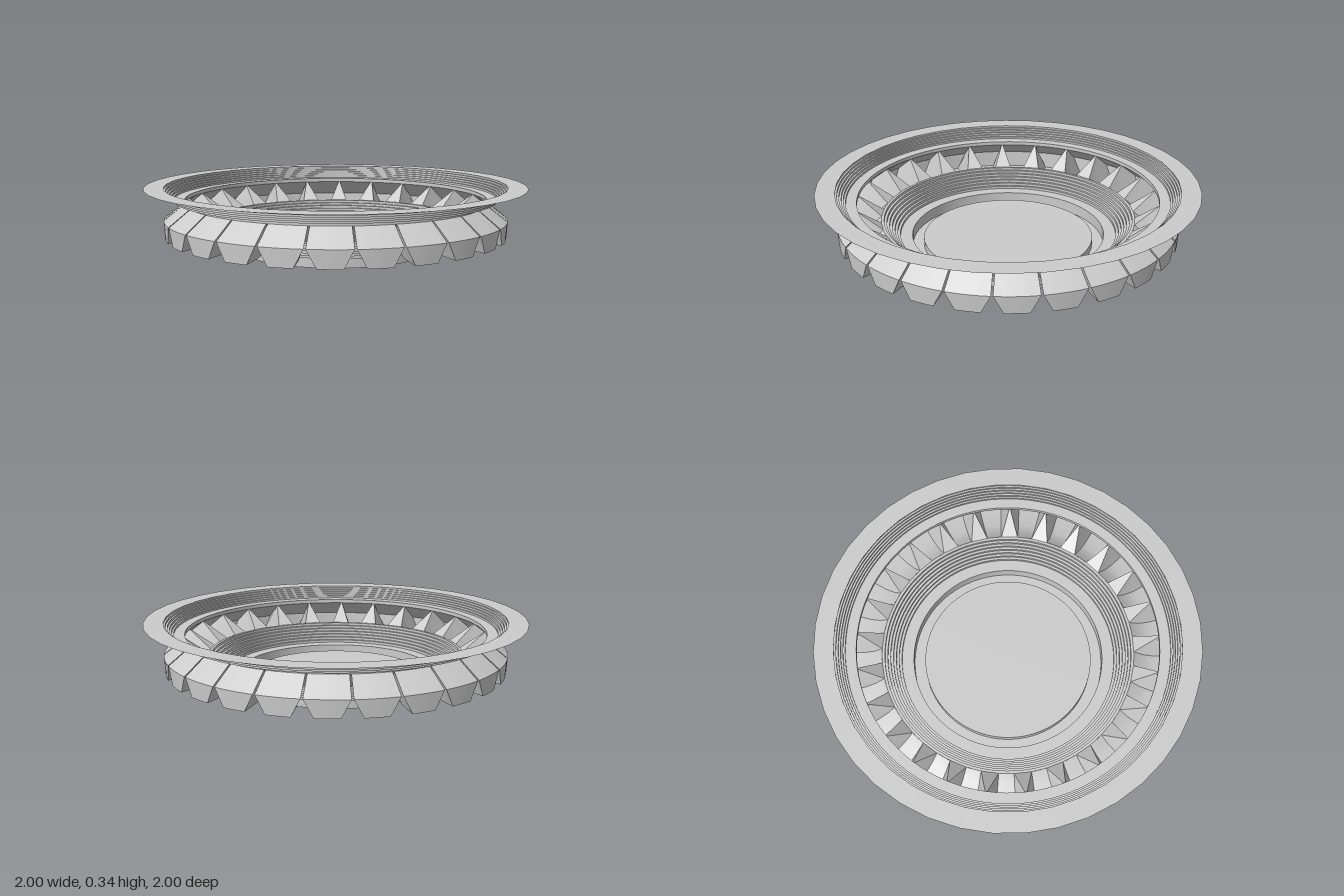
import * as THREE from 'three';
import { toCreasedNormals } from 'three/addons/utils/BufferGeometryUtils.js';

const PETALS = 25;
const PITCH = (Math.PI * 2) / PETALS;
const material = new THREE.MeshStandardMaterial({ color: 0xcccccc, side: THREE.DoubleSide });

// Thin turned shell from [radius, height] points
function turned(name, points, segments = 100) {
  const profile = points.map(([r, y]) => new THREE.Vector2(r, y));
  const geometry = toCreasedNormals(new THREE.LatheGeometry(profile, segments), 0.5);
  const mesh = new THREE.Mesh(geometry, material);
  mesh.name = name;
  return mesh;
}

// Staircase profile between two points, each tread before its riser
function steps(r0, y0, r1, y1, count) {
  const points = [[r0, y0]];
  for (let i = 1; i <= count; i++) {
    const r = r0 + ((r1 - r0) * i) / count;
    const y = y0 + ((y1 - y0) * i) / count;
    points.push([r, points[points.length - 1][1]], [r, y]);
  }
  return points;
}

// One hollow petal with its side walls and the wedge to the next petal
function petalGeometry() {
  // radius, height, half width of the gap beside the petal
  const stations = [
    [0.67, 0.16, 0.045],
    [0.72, 0.118, 0.048],
    [0.78, 0.09, 0.05],
    [0.895, 0.08, 0.052],
    [0.9, 0.17, 0.005],
    [0.79, 0.255, 0.004],
  ];
  const positions = [];
  const point = ([r, y, gap], t, turn = 0) => {
    const a = t * (PITCH / 2 - gap / r) + turn;
    return [r * Math.sin(a), y, r * Math.cos(a)];
  };
  const tri = (a, b, c) => positions.push(...a, ...b, ...c);
  const quad = (a, b, c, d) => { tri(a, b, c); tri(a, c, d); };

  // Floor, outer face and sloping shoulder
  const cuts = 4;
  for (let s = 0; s < stations.length - 1; s++) {
    for (let i = 0; i < cuts; i++) {
      const t0 = -1 + (2 * i) / cuts, t1 = -1 + (2 * (i + 1)) / cuts;
      quad(point(stations[s], t0), point(stations[s + 1], t0),
        point(stations[s + 1], t1), point(stations[s], t1));
    }
  }
  // Side walls, fanned from the top of the petal
  for (const side of [-1, 1]) {
    const edge = stations.map((s) => point(s, side));
    const top = edge[edge.length - 1];
    for (let i = 0; i < edge.length - 2; i++) {
      if (side < 0) tri(top, edge[i + 1], edge[i]);
      else tri(top, edge[i], edge[i + 1]);
    }
  }
  // Pointed wedge closing the gap on the inside
  const inner = stations[0], top = stations[stations.length - 1];
  quad(point(inner, 1), point(top, 1), point(top, -1, PITCH), point(inner, -1, PITCH));

  const geometry = new THREE.BufferGeometry();
  geometry.setAttribute('position', new THREE.Float32BufferAttribute(positions, 3));
  return toCreasedNormals(geometry, 0.45);
}

export function createModel() {
  const model = new THREE.Group();
  model.name = 'petalledTray';

  // Raised floor inside a round foot
  model.add(turned('floor', [[0, 0.04], [0.45, 0.04]]));
  model.add(turned('foot', [[0.45, 0.04], [0.45, 0], [0.51, 0], [0.51, 0.06]]));
  // Ledge and stepped funnel up to the petals
  model.add(turned('innerLedge', [[0.51, 0.06], [0.56, 0.06]]));
  model.add(turned('steppedFunnel', [...steps(0.56, 0.06, 0.655, 0.16, 7), [0.67, 0.16]]));

  // Ring of petals, with a gap facing the front
  const ring = new THREE.Group();
  ring.name = 'petalRing';
  const geometry = petalGeometry();
  for (let i = 0; i < PETALS; i++) {
    const petal = new THREE.Mesh(geometry, material);
    petal.name = 'petal';
    petal.rotation.y = (i + 0.5) * PITCH;
    ring.add(petal);
  }
  model.add(ring);

  // Neck, stepped collar and flat flange
  model.add(turned('neck', [[0.79, 0.255], [0.79, 0.275], [0.835, 0.275]]));
  model.add(turned('steppedCollar', steps(0.835, 0.275, 0.897, 0.34, 6)));
  model.add(turned('flange', [[1, 0.34], [0.897, 0.34]], 40));
  return model;
}
